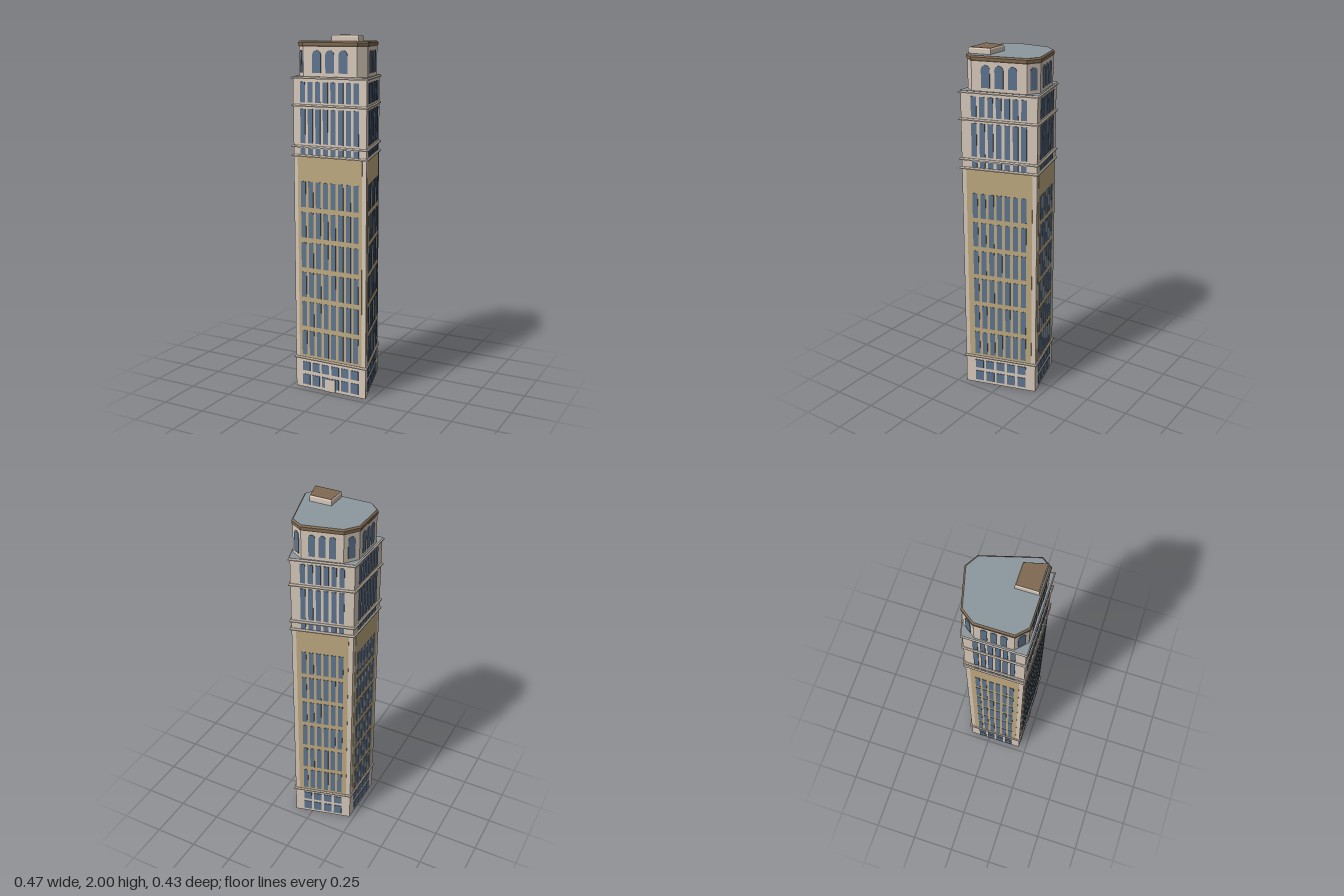
import * as THREE from 'three';
import { mergeGeometries } from 'three/addons/utils/BufferGeometryUtils.js';

const paint = (name, color, side = THREE.FrontSide) => {
  const m = new THREE.MeshStandardMaterial({ color, side });
  m.name = name;
  return m;
};

// Plans as [x, z], counter-clockwise from above, starting at the front left of the plan
const BODY = [[-0.225, 0.205], [0.221, 0.205], [0.1, -0.204], [-0.225, -0.117]];
const CROWN = [[-0.165, 0.204], [0.164, 0.204], [0.203, 0.148], [0.117, -0.148],
  [0.045, -0.19], [-0.17, -0.135], [-0.225, -0.06], [-0.225, 0.145]];
const HUT = [[0.005, 0.19], [0.164, 0.19], [0.133, 0.07], [0.005, 0.07]];

// Moves every edge of a convex plan outward by d
function offset(plan, d) {
  const n = plan.length;
  const dir = (i) => {
    const a = plan[i % n], b = plan[(i + 1) % n];
    const l = Math.hypot(b[0] - a[0], b[1] - a[1]);
    return [(b[0] - a[0]) / l, (b[1] - a[1]) / l];
  };
  return plan.map((p, i) => {
    const [ux, uz] = dir(i + n - 1), [vx, vz] = dir(i);
    const k = d / (1 + ux * vx + uz * vz);
    return [p[0] - (uz + vz) * k, p[1] + (ux + vx) * k];
  });
}

// Flat-faced skin through rings of [plan, y]
function loft(rings, capTop = false, capBottom = false) {
  const pos = [];
  const put = (plan, i, y) => pos.push(plan[i][0], y, plan[i][1]);
  const n = rings[0][0].length;
  for (let r = 0; r < rings.length - 1; r++) {
    const [p, y0] = rings[r], [q, y1] = rings[r + 1];
    for (let i = 0; i < n; i++) {
      const j = (i + 1) % n;
      put(p, i, y0); put(p, j, y0); put(q, j, y1);
      put(p, i, y0); put(q, j, y1); put(q, i, y1);
    }
  }
  const cap = ([plan, y], up) => {
    for (let i = 1; i < n - 1; i++) {
      put(plan, 0, y); put(plan, up ? i : i + 1, y); put(plan, up ? i + 1 : i, y);
    }
  };
  if (capTop) cap(rings[rings.length - 1], true);
  if (capBottom) cap(rings[0], false);
  const g = new THREE.BufferGeometry();
  g.setAttribute('position', new THREE.Float32BufferAttribute(pos, 3));
  g.computeVertexNormals();
  return g;
}

// Thin plate on a wall, lower left corner at x, y
function plate(x, y, w, h, depth = 0.003) {
  return new THREE.BoxGeometry(w, h, depth).translate(x + w / 2, y + h / 2, depth / 2);
}

// Row of evenly spaced panes; ratio is pane width over spacing
function paneRow(length, margin, count, ratio, y, h, depth) {
  const pitch = (length - 2 * margin) / (count - 1 + ratio);
  return Array.from({ length: count }, (_, i) => plate(margin + i * pitch, y, pitch * ratio, h, depth));
}

function arch(cx, y, w, h) {
  const r = w / 2, s = new THREE.Shape();
  s.moveTo(-r, 0);
  s.lineTo(r, 0);
  s.lineTo(r, h - r);
  s.absarc(0, h - r, r, 0, Math.PI, false);
  s.closePath();
  return new THREE.ExtrudeGeometry(s, { depth: 0.003, bevelEnabled: false, curveSegments: 8 }).translate(cx, y, 0);
}

export function createModel() {
  const model = new THREE.Group();
  model.name = 'tower';
  const stone = paint('pale stone', 0xd8cabb);
  const stoneShell = paint('pale stone shell', 0xd8cabb, THREE.DoubleSide);
  const brick = paint('tan brick', 0xbfaa80);
  const glass = paint('blue glass', 0x5e7590);
  const slate = paint('grey roofing', 0x8d989f);
  const bronze = paint('brown trim', 0x806a52);

  const add = (parent, name, geometry, material) => {
    const mesh = new THREE.Mesh(geometry, material);
    mesh.name = name;
    parent.add(mesh);
    return mesh;
  };

  // Local frame of one wall: x along it, z outward
  const wallGroup = (name, plan, i) => {
    const a = plan[i], b = plan[(i + 1) % plan.length];
    const group = new THREE.Group();
    group.name = name;
    group.position.set(a[0], 0, a[1]);
    group.rotation.y = Math.atan2(a[1] - b[1], b[0] - a[0]);
    model.add(group);
    return { group, length: Math.hypot(b[0] - a[0], b[1] - a[1]) };
  };

  // Open-bottomed base, shaft and upper storeys
  add(model, 'base', loft([[BODY, 0], [BODY, 0.175]]), stoneShell);
  add(model, 'shaft', loft([[BODY, 0.175], [BODY, 1.35]]), stone);
  add(model, 'upperStoreys', loft([[BODY, 1.35], [BODY, 1.77]]), stone);

  // Cornices with sloped tops
  const lip = offset(BODY, 0.009), inner = offset(BODY, 0.004);
  for (const y of [0.173, 1.345, 1.396, 1.619, 1.768]) {
    add(model, 'cornice', loft([[lip, y], [lip, y + 0.006], [inner, y + 0.012]], true, true), stone);
  }
  add(model, 'terrace', loft([[inner, 1.78], [inner, 1.781]], true), slate);

  // Brick panels and window rows on the four walls
  const walls = [['front', 8, 6, 0.045], ['right', 7, 5, 0.058], ['back', 6, 4, 0.052], ['left', 6, 4, 0.052]];
  walls.forEach(([side, cols, baseCols, margin], i) => {
    const { group, length } = wallGroup(side + 'Wall', BODY, i);
    add(group, 'brickPanel', plate(0.025, 0.185, length - 0.05, 1.16, 0.002), brick);
    const panes = [];
    for (let row = 0; row < 6; row++) {
      panes.push(...paneRow(length, margin, cols, 0.65, 0.2 + row * 0.1728, 0.145, 0.004));
    }
    for (const [y, h] of [[1.359, 0.036], [1.42, 0.187], [1.642, 0.11]]) {
      panes.push(...paneRow(length, margin, cols, 0.65, y, h));
    }
    for (const [y, h] of [[0.018, 0.062], [0.102, 0.053]]) {
      panes.push(...paneRow(length, margin, baseCols, 0.76, y, h));
    }
    add(group, 'windows', mergeGeometries(panes), glass);
    if (side === 'front') add(group, 'entrance', plate(length / 2 - 0.033, 0, 0.066, 0.075, 0.006), stone);
  });

  // Chamfered crown with arched windows
  const crownWall = offset(CROWN, -0.005);
  add(model, 'crown', loft([[crownWall, 1.78], [crownWall, 1.95]]), stone);
  crownWall.forEach((_, i) => {
    const { group, length } = wallGroup('crownWall', crownWall, i);
    if (length < 0.073) return;
    const count = length > 0.15 ? 3 : 1;
    const pitch = 0.245 * length;
    const w = count === 3 ? length * 0.16 : 0.04;
    const arches = Array.from({ length: count }, (_, k) =>
      arch(length / 2 + (k - (count - 1) / 2) * pitch, 1.8, w, 0.12));
    add(group, 'archedWindows', mergeGeometries(arches), glass);
  });

  // Roof edge and deck
  const deck = offset(CROWN, -0.008);
  add(model, 'roofTrim', loft([[crownWall, 1.938], [CROWN, 1.946], [CROWN, 1.96], [deck, 1.968]], false, true), bronze);
  add(model, 'roofDeck', loft([[deck, 1.967], [deck, 1.968]], true), slate);

  // Rooftop hut
  const hutTop = offset(HUT, -0.004);
  add(model, 'roofHut', loft([[HUT, 1.966], [HUT, 1.993], [hutTop, 1.999]]), stone);
  add(model, 'hutRoof', loft([[hutTop, 1.999], [hutTop, 2]], true), bronze);
  return model;
}
